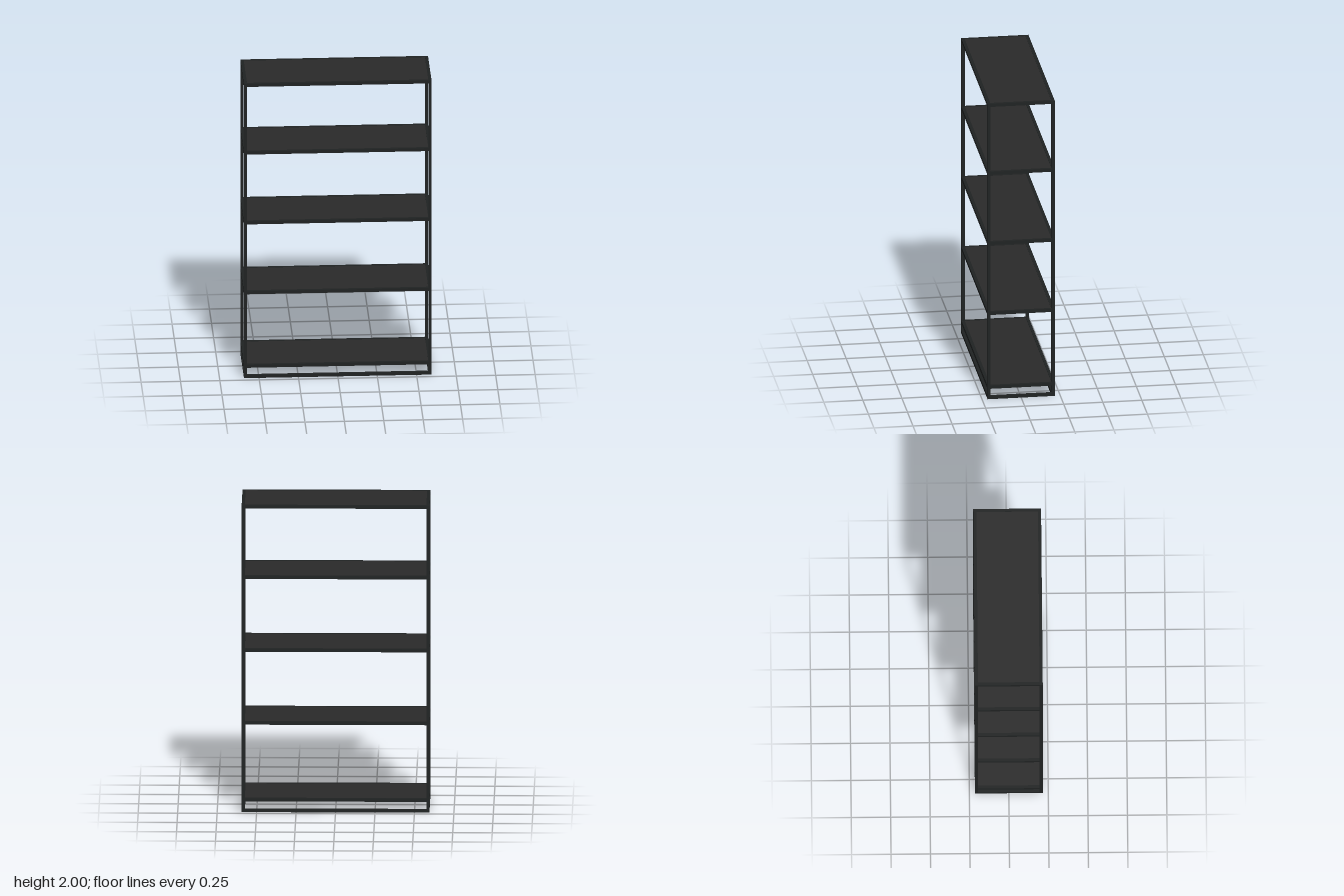
import * as THREE from 'three';

const W = 1.19, D = 0.43, H = 2, BAR = 0.02;

export function createModel() {
  const model = new THREE.Group();
  const frameMat = new THREE.MeshStandardMaterial({ color: 0x1f2222 });
  const panelMat = new THREE.MeshStandardMaterial({ color: 0x2a2a2a });

  const box = (parent, name, size, pos, mat) => {
    const mesh = new THREE.Mesh(new THREE.BoxGeometry(...size), mat);
    mesh.name = name;
    mesh.position.set(...pos);
    parent.add(mesh);
  };

  const px = (W - BAR) / 2, pz = (D - BAR) / 2;

  // Four square corner posts
  for (const sx of [-1, 1]) {
    for (const sz of [-1, 1]) {
      const name = (sz > 0 ? 'front' : 'back') + (sx > 0 ? 'Left' : 'Right') + 'Post';
      box(model, name, [BAR, H, BAR], [sx * px, H / 2, sz * pz], frameMat);
    }
  }

  // Ring of rails between the posts at one height
  const railRing = (parent, y) => {
    for (const s of [-1, 1]) {
      box(parent, s > 0 ? 'frontRail' : 'backRail', [W - 2 * BAR, BAR, BAR], [0, y, s * pz], frameMat);
      box(parent, s > 0 ? 'leftRail' : 'rightRail', [BAR, BAR, D - 2 * BAR], [s * px, y, 0], frameMat);
    }
  };

  // Open base ring on the floor
  const base = new THREE.Group();
  base.name = 'baseFrame';
  railRing(base, BAR / 2);
  model.add(base);

  // Shelves: a rail ring holding a thinner panel, nearly flush on top
  [0.08, 0.58, 1.055, 1.53, H - BAR / 2].forEach((y, i) => {
    const shelf = new THREE.Group();
    shelf.name = 'shelf' + (i + 1);
    railRing(shelf, y);
    box(shelf, 'shelfPanel', [W - 2 * BAR, 0.014, D - 2 * BAR], [0, y + 0.002, 0], panelMat);
    model.add(shelf);
  });

  return model;
}
